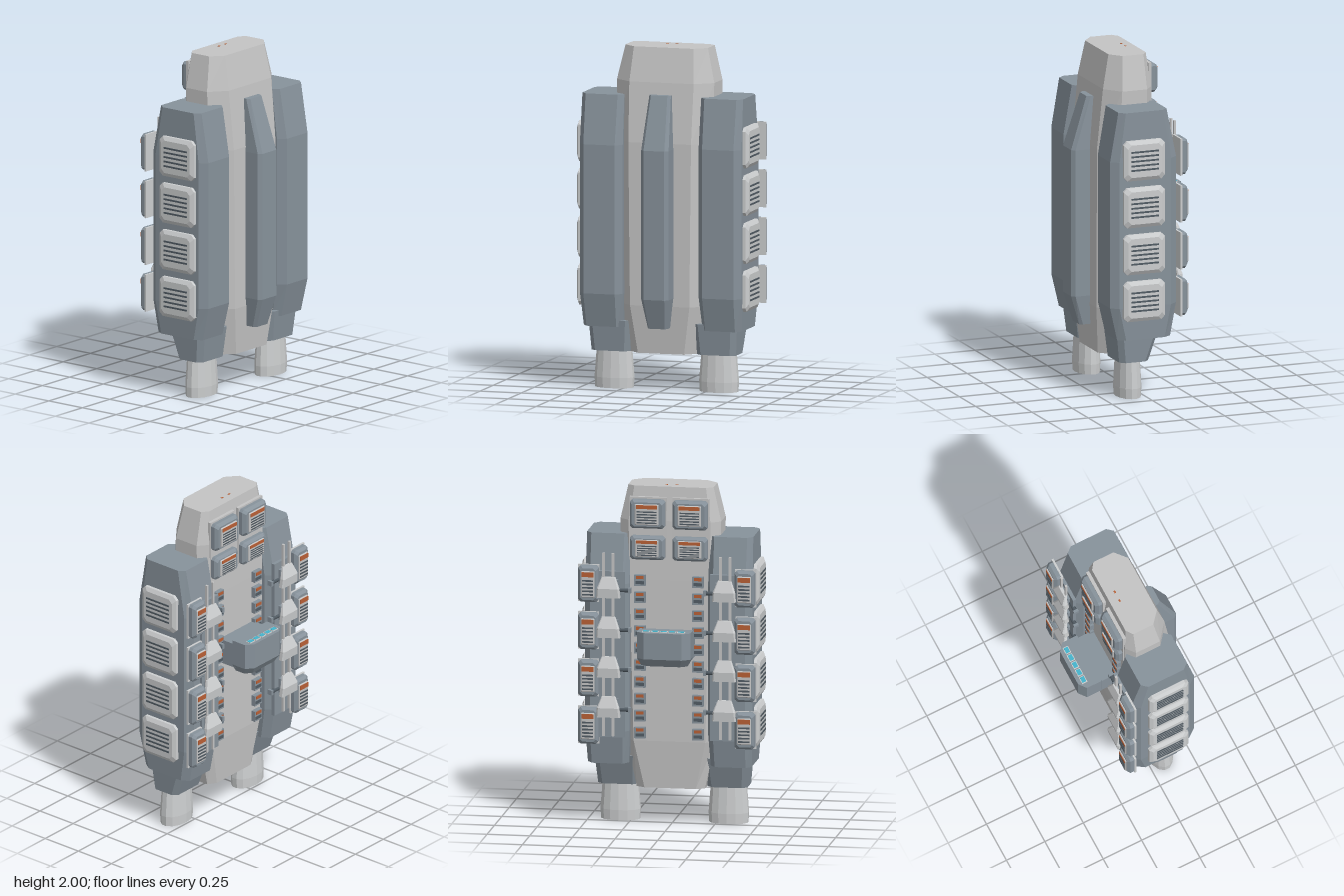
import * as THREE from 'three';

const mat = (name, color, extra = {}) => {
  const m = new THREE.MeshStandardMaterial({ color, ...extra });
  m.name = name;
  return m;
};

// Chamfered rectangle at height y: fx, fz cut the front corners, bx, bz the back ones
function ring(y, x0, x1, z0, z1, fx, fz = fx, bx = fx, bz = fz) {
  return [[x0 + fx, z1], [x1 - fx, z1], [x1, z1 - fz], [x1, z0 + bz],
    [x1 - bx, z0], [x0 + bx, z0], [x0, z0 + bz], [x0, z1 - fz]].map(([x, z]) => [x, y, z]);
}

// Flat-shaded solid through rings listed from bottom to top
function loft(rings) {
  const pos = [];
  const tri = (a, b, c) => pos.push(...a, ...b, ...c);
  const n = rings[0].length, last = rings[rings.length - 1];
  for (let r = 0; r < rings.length - 1; r++) {
    const a = rings[r], b = rings[r + 1];
    for (let i = 0; i < n; i++) {
      const j = (i + 1) % n;
      tri(a[i], a[j], b[j]);
      tri(a[i], b[j], b[i]);
    }
  }
  for (let i = 1; i < n - 1; i++) {
    tri(last[0], last[i], last[i + 1]);
    tri(rings[0][0], rings[0][i + 1], rings[0][i]);
  }
  const g = new THREE.BufferGeometry();
  g.setAttribute('position', new THREE.Float32BufferAttribute(pos, 3));
  g.computeVertexNormals();
  return g;
}

function add(parent, name, geometry, material, x = 0, y = 0, z = 0) {
  const m = new THREE.Mesh(geometry, material);
  m.name = name;
  m.position.set(x, y, z);
  parent.add(m);
  return m;
}
const box = (w, h, d) => new THREE.BoxGeometry(w, h, d);

// Plate rising along +y with a bevelled rim
function bevelPlate(w, l, d, bevel, corner = bevel) {
  const r = (y, s) => ring(y, -w / 2 + s, w / 2 - s, -l / 2 + s, l / 2 - s, corner);
  return loft([r(0, 0), r(d * 0.6, 0), r(d, bevel)]);
}

export function createModel() {
  const root = new THREE.Group();
  root.name = 'boosterPack';
  const light = mat('light grey', 0xc4c4c4);
  const blue = mat('blue grey', 0x87929b);
  const pale = mat('pale panel', 0xcccecf);
  const dark = mat('dark slot', 0x525c64);
  const orange = mat('orange', 0xb85f35);
  const cyan = mat('cyan window', 0x45b4cc);

  // Central hull and front rail
  add(root, 'centralHull', loft([
    ring(0.22, -0.2, 0.2, -0.08, 0.195, 0.06, 0.06, 0.05, 0.03),
    ring(0.5, -0.26, 0.26, -0.1, 0.22, 0.08, 0.08, 0.05, 0.05),
    ring(1.45, -0.29, 0.29, -0.1, 0.22, 0.1, 0.1, 0.055, 0.05),
    ring(1.8, -0.295, 0.295, -0.095, 0.185, 0.1, 0.08, 0.055, 0.045),
    ring(2, -0.25, 0.25, -0.075, 0.145, 0.07, 0.06, 0.04, 0.03)]), light);
  add(root, 'frontRail', loft([
    ring(0.375, -0.06, 0.06, 0.17, 0.275, 0.012, 0.02, 0.005),
    ring(0.55, -0.083, 0.083, 0.17, 0.33, 0.02, 0.02, 0.005),
    ring(1.42, -0.083, 0.083, 0.17, 0.33, 0.02, 0.02, 0.005),
    ring(1.73, -0.065, 0.065, 0.17, 0.23, 0.015, 0.02, 0.005)]), blue);
  for (const x of [-0.03, 0.03]) add(root, 'topMarker', box(0.015, 0.004, 0.01), orange, x, 2, -0.02);

  // Vent module facing backwards: casing, raised panel, slots and orange strip
  function module(x, y, z, w, h, d) {
    const g = new THREE.Group();
    g.name = 'rearModule';
    g.position.set(x, y, z);
    g.rotation.x = -Math.PI / 2;
    add(g, 'moduleCasing', bevelPlate(w, h, d, 0.014), blue);
    add(g, 'modulePanel', bevelPlate(w * 0.68, h * 0.72, 0.008, 0.004), light, 0, d);
    for (let i = 0; i < 5; i++)
      add(g, 'moduleSlot', box(w * 0.56, 0.004, h * 0.045), dark, 0, d + 0.008, h * (0.1 - i * 0.095));
    add(g, 'moduleStrip', box(w * 0.6, 0.006, h * 0.13), orange, 0, d + 0.008, h * 0.27);
    root.add(g);
  }

  for (const s of [-1, 1]) {
    // Side pod, skirt and oval nozzle
    const c = s * 0.36;
    add(root, 'sidePod', loft([
      ring(0.365, c - 0.12, c + 0.12, -0.13, 0.2, 0.03, 0.045),
      ring(0.56, c - 0.13, c + 0.13, -0.165, 0.245, 0.035, 0.045),
      ring(1.43, c - 0.13, c + 0.13, -0.165, 0.245, 0.035, 0.045),
      ring(1.72, c - 0.127, c + 0.127, -0.105, 0.195, 0.03, 0.035)]), blue);
    const k = s * 0.32;
    add(root, 'engineSkirt', loft([
      ring(0.22, k - 0.118, k + 0.118, -0.01, 0.17, 0.03),
      ring(0.4, k - 0.13, k + 0.13, -0.07, 0.19, 0.03)]), blue);
    const profile = [[0, 0.14], [0.088, 0.14], [0.096, 0], [0.115, 0], [0.119, 0.06], [0.105, 0.24]]
      .map(([r, y]) => new THREE.Vector2(r, y));
    const nozzle = new THREE.LatheGeometry(profile, 14).scale(1, 1, 0.63).toNonIndexed();
    nozzle.computeVertexNormals();
    add(root, 'nozzle', nozzle, pale, s * 0.317, 0, 0.083);

    for (let i = 0; i < 4; i++) {
      // Slotted panel on the outer side
      const y = 1.437 - i * 0.279;
      const g = new THREE.Group();
      g.name = 'sidePanel';
      g.position.set(s * 0.487, y, 0.053);
      g.rotation.z = -s * Math.PI / 2;
      add(g, 'panelPlate', bevelPlate(0.237, 0.255, 0.034, 0.022), pale);
      for (let j = 0; j < 5; j++)
        add(g, 'panelSlot', box(0.01, 0.006, 0.17), dark, (j - 2) * 0.027, 0.035, 0);
      root.add(g);

      // Rear module on a thin backing plate
      add(root, 'modulePlate', box(0.125, 0.22, 0.012), pale, s * 0.46, y, -0.171);
      module(s * 0.458, y, -0.176, 0.118, 0.215, 0.042);

      // Sloped shield in front of the rods
      const v = 1.42 - i * 0.235;
      const shield = loft([
        ring(0, -0.07, 0.07, -0.025, 0.012, 0.008),
        ring(0.055, -0.065, 0.065, -0.03, 0.005, 0.008),
        ring(0.12, -0.04, 0.04, -0.006, 0.012, 0.004)]);
      add(root, 'shield', shield, pale, s * 0.34, v - 0.06, -0.2);
      add(root, 'shieldMount', box(0.09, 0.09, 0.03), blue, s * 0.33, v, -0.18);

      // Small sideways nozzle near the inner edge
      const jet = new THREE.CylinderGeometry(0.012, 0.012, 0.07, 8).rotateZ(Math.PI / 2);
      add(root, 'smallPipe', jet, dark, s * 0.255, v - 0.02, -0.175);
      add(root, 'pipeTip', box(0.016, 0.03, 0.03), blue, s * 0.22, v - 0.02, -0.175);
    }

    // Vertical carrier and rods
    add(root, 'rodCarrier', box(0.15, 0.98, 0.02), blue, s * 0.325, 1.02, -0.168);
    for (const x of [0.315, 0.37])
      add(root, 'rod', box(0.014, 1.08, 0.014), light, s * x, 1.08, -0.19);

    // Two rows of large rear modules on the hull
    add(root, 'moduleBase', box(0.215, 0.36, 0.02), light, s * 0.125, 1.76, -0.093);
    module(s * 0.125, 1.845, -0.095, 0.205, 0.17, 0.052);
    module(s * 0.125, 1.645, -0.1, 0.205, 0.14, 0.042);

    // Columns of small boxes along the hull
    for (let i = 0; i < 10; i++) {
      const y = 1.45 - i * 0.1;
      add(root, 'smallBox', box(0.065, 0.065, 0.03), blue, s * 0.17, y, -0.11);
      add(root, 'smallBoxMark', box(0.045, 0.018, 0.006), orange, s * 0.17, y + 0.018, -0.125);
      add(root, 'smallBoxSlot', box(0.05, 0.018, 0.006), dark, s * 0.17, y - 0.012, -0.125);
    }
  }

  // Rear cabin with neck, roof windows and underside marking
  add(root, 'cabinNeck', box(0.3, 0.15, 0.14), blue, 0, 1.085, -0.15);
  add(root, 'cabin', loft([
    ring(0.985, -0.135, 0.135, -0.305, -0.205, 0.004, 0.004, 0.04, 0.03),
    ring(1.03, -0.157, 0.157, -0.333, -0.2, 0.004, 0.004, 0.045, 0.035),
    ring(1.185, -0.157, 0.157, -0.333, -0.2, 0.004, 0.004, 0.045, 0.035)]), blue);
  for (let i = -2; i <= 2; i++) {
    add(root, 'windowFrame', box(0.044, 0.006, 0.034), pale, i * 0.051, 1.187, -0.295);
    add(root, 'window', box(0.035, 0.008, 0.025), cyan, i * 0.051, 1.188, -0.295);
  }
  add(root, 'cabinMark', box(0.1, 0.006, 0.05), orange, -0.04, 0.984, -0.25);
  return root;
}
